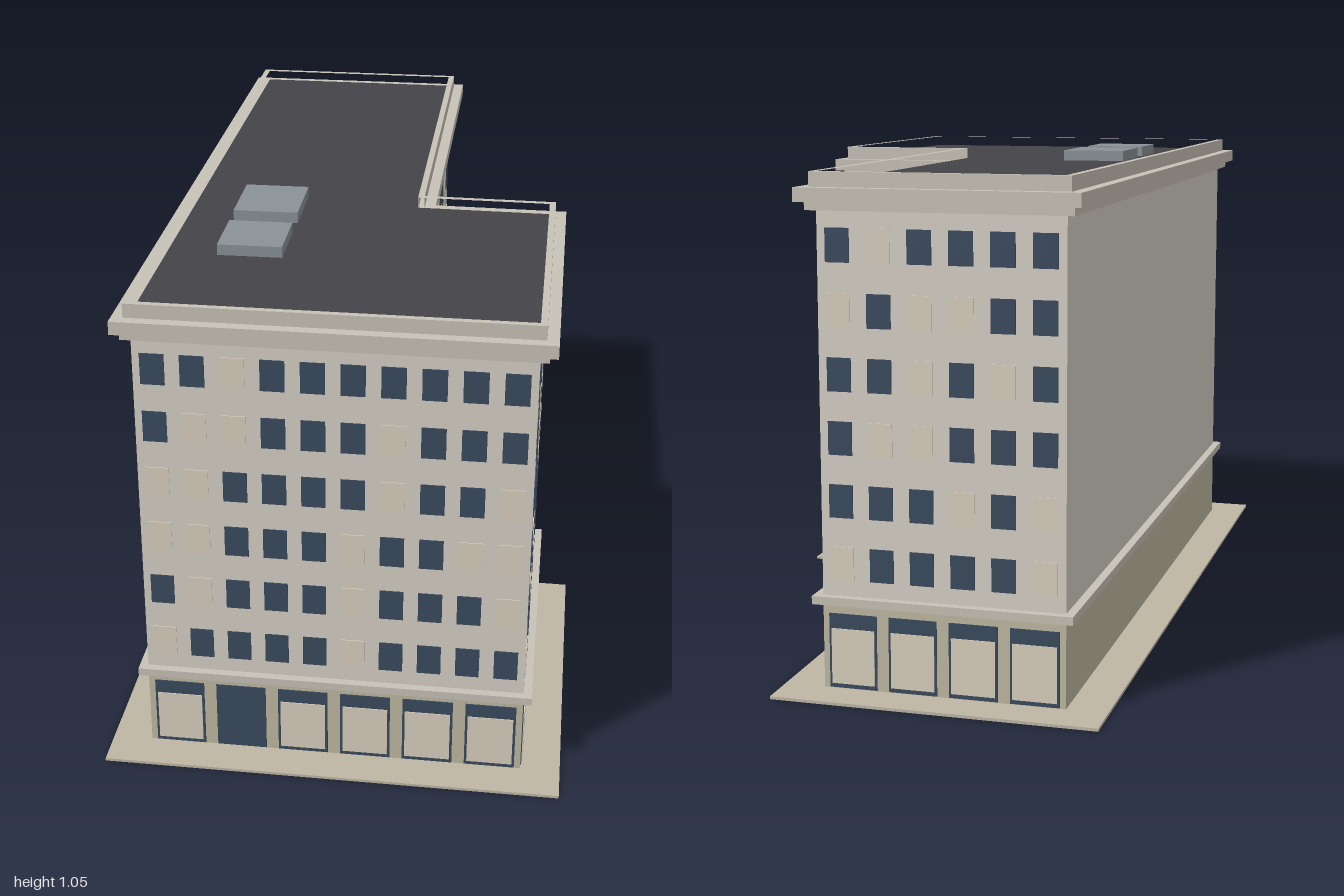
import * as THREE from 'three';
import { mergeGeometries } from 'three/addons/utils/BufferGeometryUtils.js';

const mat = (color) => new THREE.MeshStandardMaterial({ color });
const MATS = {
  wall: mat(0xd6d0c5), base: mat(0xbfb9a2), trim: mat(0xc8c2b6), roof: mat(0x444348),
  paving: mat(0xbfb6a4), glass: mat(0x3a4a5e), lit: mat(0xd9cfbd), skylight: mat(0x8a9296),
};

// Corners of the L-shaped plan as [x, z]
const PLAN = [[-0.88, -0.42], [-0.52, -0.775], [0.185, -0.07], [0.4, -0.275], [0.88, 0.21], [0.3, 0.775]];

// Plan moved outward by a distance, with mitred corners
function offsetPlan(d) {
  const n = PLAN.length;
  const normal = (i) => {
    const p = PLAN[i % n], q = PLAN[(i + 1) % n];
    return new THREE.Vector2(q[1] - p[1], p[0] - q[0]).normalize();
  };
  return PLAN.map(([x, z], i) => {
    const a = normal(i + n - 1), b = normal(i);
    const m = a.clone().add(b).multiplyScalar(d / (1 + a.dot(b)));
    return new THREE.Vector2(x + m.x, -(z + m.y));
  });
}

// Horizontal layer between two heights; an inner offset turns it into a ring
function layer(name, material, y0, y1, out, inner) {
  const shape = new THREE.Shape(offsetPlan(out));
  if (inner !== undefined) shape.holes.push(new THREE.Path(offsetPlan(inner)));
  const geo = new THREE.ExtrudeGeometry(shape, { depth: y1 - y0, bevelEnabled: false });
  geo.rotateX(-Math.PI / 2).translate(0, y0, 0);
  const mesh = new THREE.Mesh(geo, material);
  mesh.name = name;
  return mesh;
}

const panel = (x, y, w, h, front) =>
  new THREE.BoxGeometry(w, h, 0.01).translate(x, y, front - 0.005);

// Windows of one wall, left to right as seen from outside; 1 = dark pane, 0 = light pane
function facade(name, from, to, rows, bays, doors) {
  const [p, q] = [PLAN[from], PLAN[to]];
  const dx = q[0] - p[0], dz = q[1] - p[1], length = Math.hypot(dx, dz);
  const dark = [], light = [];

  rows.forEach((row, r) => {
    const cell = length / row.length;
    [...row].forEach((c, i) => {
      (c === '1' ? dark : light).push(panel((i + 0.5) * cell, 0.907 - r * 0.128, 0.05, 0.068, 0.002));
    });
  });

  // Shop windows and doors on the ground floor
  const bay = length / bays;
  for (let i = 0; i < bays; i++) {
    const x = (i + 0.5) * bay;
    dark.push(panel(x, 0.085, bay * 0.8, 0.155, 0.002));
    if (!doors.includes(i)) light.push(panel(x, 0.074, bay * 0.72, 0.115, 0.004));
  }

  const group = new THREE.Group();
  group.name = name;
  for (const [label, list, material] of [['darkPanes', dark, MATS.glass], ['lightPanes', light, MATS.lit]]) {
    const mesh = new THREE.Mesh(mergeGeometries(list), material);
    mesh.name = label;
    group.add(mesh);
  }
  group.position.set(p[0], 0, p[1]);
  group.rotation.y = Math.atan2(-dz, dx);
  return group;
}

export function createModel() {
  const model = new THREE.Group();
  model.name = 'cornerBuilding';

  // Stacked body, ledges and roof edge
  model.add(
    layer('pavement', MATS.paving, 0, 0.006, 0.085),
    layer('groundFloor', MATS.base, 0.006, 0.185, 0),
    layer('ledge', MATS.trim, 0.183, 0.2, 0.018),
    layer('upperFloors', MATS.wall, 0.2, 0.975, 0),
    layer('lowerCornice', MATS.trim, 0.975, 0.992, 0.018),
    layer('upperCornice', MATS.trim, 0.992, 1.02, 0.035),
    layer('parapet', MATS.trim, 1.02, 1.05, 0.011, -0.003),
    layer('roofDeck', MATS.roof, 1.02, 1.026, -0.003),
  );

  // Window walls; the long wall between the first and last corner is blank
  model.add(
    facade('frontWindows', 5, 4,
      ['1101111111', '1001110111', '0011110110', '0011101100', '1011101110', '0111101111'], 6, [1]),
    facade('wingSideWindows', 4, 3,
      ['11110011', '11010010', '11100101', '10111010', '10101111', '01101011'], 6, []),
    facade('innerCornerWindows', 3, 2,
      ['1011', '0011', '0111', '0010', '1001', '0000'], 2, []),
    facade('longSideWindows', 2, 1,
      ['010011000111', '101110101101', '011111110010', '111011101100', '110111011010', '011011101110'], 8, [2, 5]),
    facade('rearWindows', 1, 0,
      ['101111', '010011', '110101', '100111', '111010', '011110'], 4, []),
  );

  // Rooftop skylights
  for (const [x, z, w, d] of [[-0.016, 0.198, 0.175, 0.144], [0.144, 0.358, 0.15, 0.14]]) {
    const box = new THREE.Mesh(new THREE.BoxGeometry(w, 0.03, d), MATS.skylight);
    box.name = 'skylight';
    box.position.set(x, 1.035, z);
    box.rotation.y = -Math.PI / 4;
    model.add(box);
  }
  return model;
}
